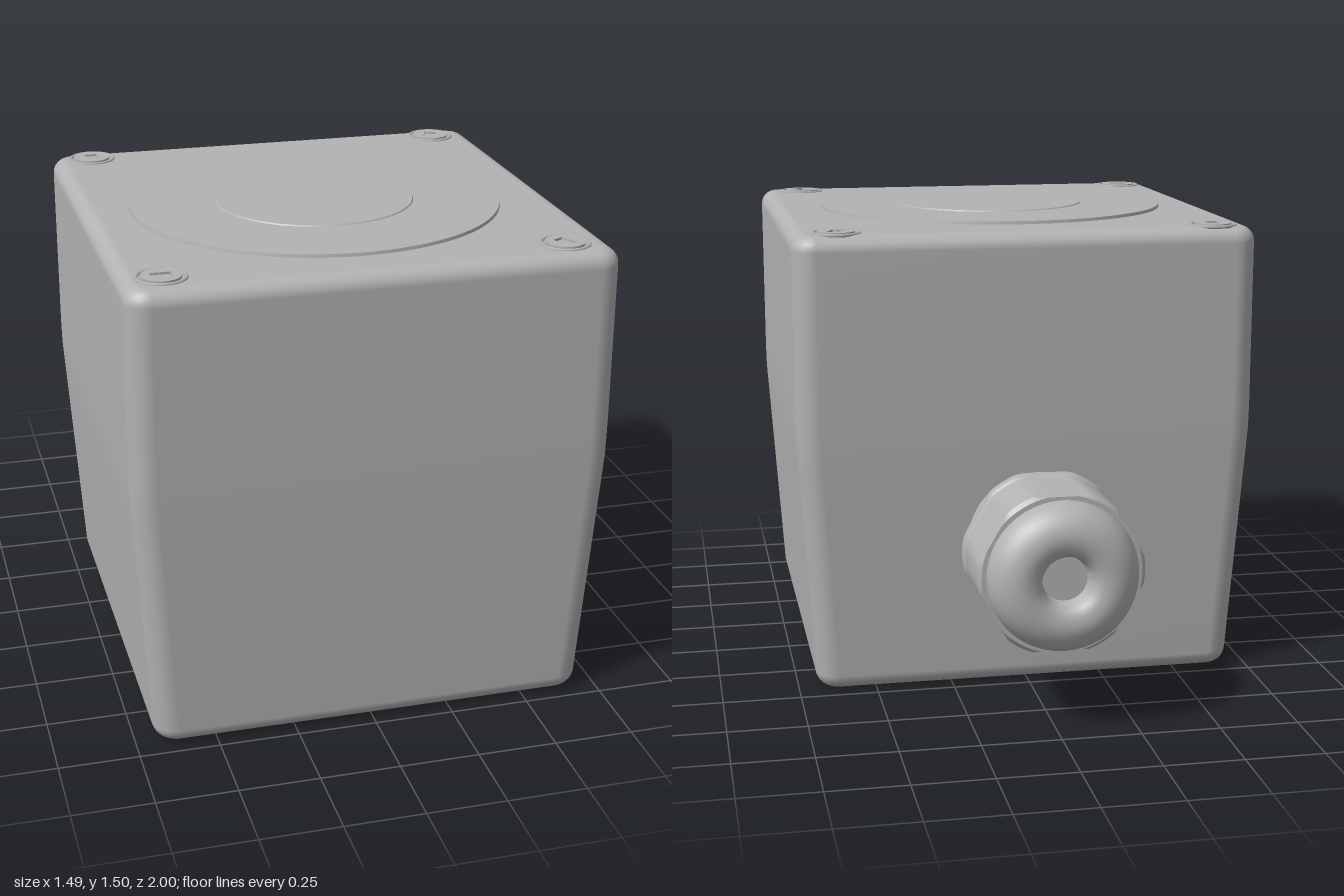
import * as THREE from 'three';
import { toCreasedNormals } from 'three/addons/utils/BufferGeometryUtils.js';

const TOP = 1.485;
const ARC = 6; // steps per rounded corner

// Rounded-rectangle loop, seen in the xz plane
function ring(x0, x1, z0, z1, r, y) {
  const pts = [];
  const corners = [[x1 - r, z1 - r], [x0 + r, z1 - r], [x0 + r, z0 + r], [x1 - r, z0 + r]];
  corners.forEach(([cx, cz], q) => {
    for (let i = 0; i <= ARC; i++) {
      const a = (q + i / ARC) * Math.PI / 2;
      pts.push(cx + r * Math.cos(a), y, cz + r * Math.sin(a));
    }
  });
  return pts;
}

// Housing: straight upper half, tapered lower half, rounded edges all round
function housingGeometry() {
  const edge = 0.05, levels = [];
  for (let i = 0; i <= ARC; i++) {
    const a = i / ARC * Math.PI / 2;
    levels.push([edge * (1 - Math.cos(a)), edge * (1 - Math.sin(a))]);
  }
  const profile = [
    ...levels.map(([dy, inset]) => [dy, inset]),
    [0.3, 0], [0.6, 0], [0.74, 0], [0.82, 0], [0.9, 0], [1.2, 0],
    ...levels.map(([dy, inset]) => [TOP - dy, inset]).reverse(),
  ];
  const pos = [], index = [], n = 4 * (ARC + 1);
  for (const [y, inset] of profile) {
    const t = Math.max(0, 0.84 - y) / 0.84; // taper towards the base
    pos.push(...ring(-0.745 + 0.055 * t + inset, 0.745 - 0.055 * t - inset,
      -0.505 + 0.038 * t + inset, 0.995 - 0.027 * t - inset, 0.075 - inset, y));
  }
  for (let i = 0; i < profile.length - 1; i++) {
    for (let j = 0; j < n; j++) {
      const a = i * n + j, b = i * n + (j + 1) % n;
      index.push(a, a + n, b, b, a + n, b + n);
    }
  }
  // Base and lid faces
  const last = (profile.length - 1) * n, c = pos.length / 3;
  pos.push(0, 0, 0.245, 0, TOP, 0.245);
  for (let j = 0; j < n; j++) {
    const k = (j + 1) % n;
    index.push(c, j, k, c + 1, last + k, last + j);
  }
  const g = new THREE.BufferGeometry();
  g.setAttribute('position', new THREE.Float32BufferAttribute(pos, 3));
  g.setIndex(index);
  g.computeVertexNormals();
  return g;
}

function lathe(points, segments = 72) {
  return new THREE.LatheGeometry(points.map(p => new THREE.Vector2(...p)), segments);
}

export function createModel() {
  const model = new THREE.Group();
  const grey = new THREE.MeshStandardMaterial({ color: 0xb3b3b3 });
  grey.name = 'plain grey';

  const add = (name, geometry, parent = model) => {
    const mesh = new THREE.Mesh(geometry, grey);
    mesh.name = name;
    parent.add(mesh);
    return mesh;
  };

  add('housing', housingGeometry());

  // Shallow round plate on the lid with a raised centre
  const plate = lathe([[0.59, 0], [0.588, 0.01], [0.315, 0.011], [0.312, 0.015], [0, 0.015]]);
  const lidPlate = add('lidPlate', toCreasedNormals(plate, 0.5));
  lidPlate.scale.z = 0.957;
  lidPlate.position.set(-0.01, TOP, 0.27);

  // Slotted lid screws, each in a thin round rim
  const head = new THREE.Shape().absarc(0, 0, 0.06, 0, Math.PI * 2);
  const slot = new THREE.Path();
  slot.moveTo(-0.02, -0.03).lineTo(-0.02, 0.03).lineTo(0.02, 0.03).lineTo(0.02, -0.03).closePath();
  head.holes.push(slot);
  const headGeometry = new THREE.ExtrudeGeometry(head, { depth: 0.007, bevelEnabled: false, curveSegments: 24 });
  headGeometry.rotateX(-Math.PI / 2);
  const rimGeometry = new THREE.TorusGeometry(0.072, 0.006, 6, 40);
  rimGeometry.rotateX(Math.PI / 2);
  [[-0.615, -0.41, 0], [0.6, -0.405, -0.4], [-0.62, 0.87, 1.57], [0.6, 0.87, 0.5]].forEach(([x, z, turn]) => {
    const screw = new THREE.Group();
    screw.name = 'lidScrew';
    screw.position.set(x, TOP, z);
    screw.rotation.y = turn;
    add('screwHead', headGeometry, screw);
    add('screwRim', rimGeometry, screw);
    model.add(screw);
  });

  // Cable gland on the back; its parts turn about +y, then the group tips to -z
  const gland = new THREE.Group();
  gland.name = 'cableGland';
  gland.position.set(-0.02, 0.49, 0);
  gland.rotation.x = -Math.PI / 2;
  model.add(gland);

  add('glandCollar', toCreasedNormals(lathe([
    [0.222, 0.46], [0.222, 0.51], [0.208, 0.53], [0.208, 0.565], [0.218, 0.58], [0.218, 0.62],
  ]), 0.8), gland);

  // Nut: a round profile cut by six flats
  const nut = lathe([
    [0.2, 0.6], [0.248, 0.602], [0.263, 0.615], [0.265, 0.65], [0.258, 0.66],
    [0.26, 0.68], [0.262, 0.885], [0.25, 0.898], [0.2, 0.9],
  ]);
  const p = nut.attributes.position;
  for (let i = 0; i < p.count; i++) {
    const r = Math.hypot(p.getX(i), p.getZ(i));
    const sector = Math.PI / 3;
    const a = Math.atan2(p.getX(i), p.getZ(i));
    const off = a - Math.round(a / sector) * sector;
    const s = Math.min(r, (p.getY(i) < 0.655 ? 0.251 : 0.246) / Math.cos(off)) / r;
    p.setXYZ(i, p.getX(i) * s, p.getY(i), p.getZ(i) * s);
  }
  add('glandNut', toCreasedNormals(nut, 0.4), gland);

  // Domed cap with a cable hole
  const dome = [[0.236, 0.885]];
  for (let i = 0; i <= 10; i++) {
    const a = i / 10 * Math.PI / 2;
    dome.push([0.136 + 0.1 * Math.cos(a), 0.9 + 0.1 * Math.sin(a)]);
  }
  dome.push([0.11, 0.996], [0.09, 0.985], [0.077, 0.965], [0.07, 0.93], [0, 0.93]);
  add('glandCap', toCreasedNormals(lathe(dome, 48), 0.8), gland);

  return model;
}
